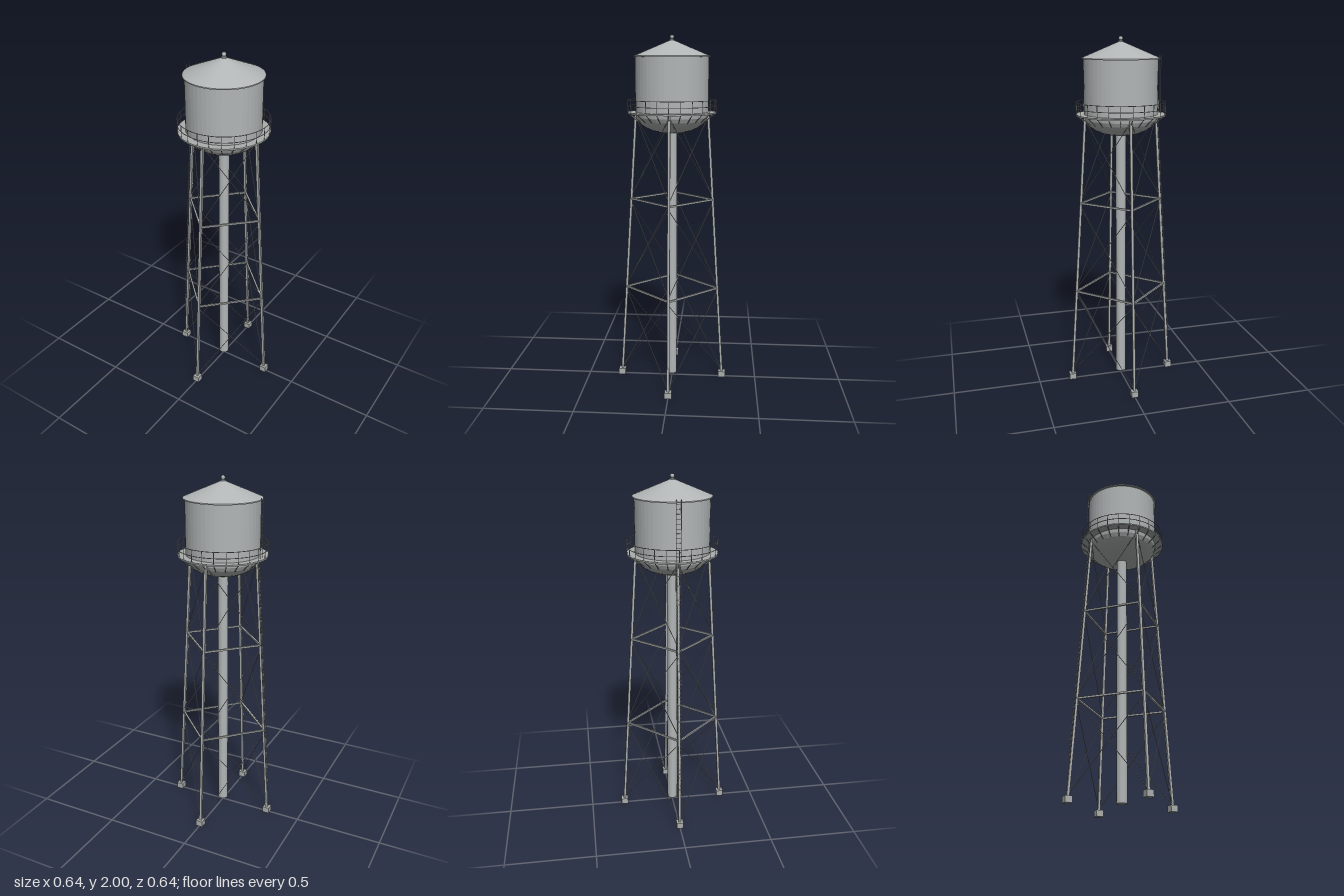
import * as THREE from 'three';

const tankPaint = new THREE.MeshStandardMaterial({ color: 0xb2b6b6, flatShading: true });
tankPaint.name = 'tank grey';
const steel = new THREE.MeshStandardMaterial({ color: 0xacaeae, flatShading: true });
steel.name = 'steel grey';

const V = (x, y, z) => new THREE.Vector3(x, y, z);
const SEG = 48;

function add(parent, name, geo, mat) {
  const m = new THREE.Mesh(geo, mat);
  m.name = name;
  parent.add(m);
  return m;
}

function group(parent, name) {
  const g = new THREE.Group();
  g.name = name;
  parent.add(g);
  return g;
}

// square bar from a to b
function bar(parent, name, a, b, w, h = w) {
  const m = add(parent, name, new THREE.BoxGeometry(w, h, a.distanceTo(b)), steel);
  m.position.copy(a).add(b).multiplyScalar(0.5);
  m.lookAt(b);
  return m;
}

// thin round rod from a to b
function rod(parent, name, a, b, r) {
  const m = add(parent, name, new THREE.CylinderGeometry(r, r, a.distanceTo(b), 6), steel);
  m.position.copy(a).add(b).multiplyScalar(0.5);
  m.quaternion.setFromUnitVectors(V(0, 1, 0), b.clone().sub(a).normalize());
  return m;
}

function lathe(parent, name, pts, mat) {
  const profile = pts.map(([r, y]) => new THREE.Vector2(r, y));
  return add(parent, name, new THREE.LatheGeometry(profile, SEG), mat);
}

// point at distance r from the axis, angle a, height y
const polar = (r, a, y) => V(r * Math.cos(a), y, r * Math.sin(a));
// the legs lean inward as they rise
const legRadius = (y) => 0.3 - 0.0627 * (y - 0.03);
const legPoint = (i, y) => polar(legRadius(y), (i * Math.PI) / 2, y);

function ladder(parent, name, a, b, halfWidth, step) {
  const g = group(parent, name);
  for (const s of [-1, 1]) {
    const off = V(0, 0, s * halfWidth);
    bar(g, 'ladderRail', a.clone().add(off), b.clone().add(off), 0.003);
  }
  const n = Math.round(a.distanceTo(b) / step);
  for (let i = 1; i < n; i++) {
    const p = a.clone().lerp(b, i / n);
    bar(g, 'ladderRung', p.clone().add(V(0, 0, -halfWidth)), p.clone().add(V(0, 0, halfWidth)), 0.002);
  }
}

export function createModel() {
  const model = new THREE.Group();
  model.name = 'waterTower';

  // tank with rounded bowl
  const bowl = [];
  for (let i = 0; i <= 8; i++) {
    const t = (i / 8) * Math.PI / 2;
    bowl.push([Math.max(0.205 * Math.sin(t), 0.0001), 1.575 - 0.113 * Math.cos(t)]);
  }
  lathe(model, 'tank', [...bowl, [0.205, 1.885]], tankPaint);

  // conical roof with a small overhanging eave
  lathe(model, 'roof', [[0.204, 1.88], [0.215, 1.88], [0.215, 1.886], [0.0001, 1.976]], tankPaint);

  // finial
  lathe(model, 'finialNeck', [[0.014, 1.964], [0.014, 1.974], [0.007, 1.977], [0.007, 1.985]], tankPaint);
  add(model, 'finialBall', new THREE.SphereGeometry(0.012, 16, 10), tankPaint).position.y = 1.988;

  // central riser pipe
  add(model, 'riser', new THREE.CylinderGeometry(0.029, 0.029, 1.46, 24), tankPaint).position.y = 0.75;

  // walkway, struts and railing
  lathe(model, 'walkway', [[0.2, 1.574], [0.25, 1.574], [0.25, 1.582], [0.2, 1.582]], steel);
  const railing = group(model, 'railing');
  for (const y of [1.615, 1.648]) {
    const ring = add(railing, 'handrail', new THREE.TorusGeometry(0.248, 0.002, 6, SEG), steel);
    ring.rotation.x = Math.PI / 2;
    ring.position.y = y;
  }
  for (let i = 0; i < 24; i++) {
    const a = (i / 24) * Math.PI * 2;
    rod(railing, 'railPost', polar(0.248, a, 1.58), polar(0.248, a, 1.648), 0.0017);
    rod(railing, 'walkwayStrut', polar(0.245, a, 1.575), polar(0.192, a, 1.53), 0.002);
  }

  // legs and footings
  for (let i = 0; i < 4; i++) {
    bar(model, 'leg', legPoint(i, 0.02), legPoint(i, 1.575), 0.014);
    const foot = add(model, 'footing', new THREE.BoxGeometry(0.04, 0.035, 0.04), steel);
    foot.position.copy(legPoint(i, 0.0175)).setY(0.0175);
  }

  // horizontal girts and crossed tie rods on each side
  const tiers = [[0.04, 0.535], [0.575, 1.065], [1.105, 1.56]];
  for (let i = 0; i < 4; i++) {
    const j = i + 1;
    for (const y of [0.555, 1.085]) bar(model, 'girt', legPoint(i, y), legPoint(j, y), 0.01);
    for (const [low, high] of tiers) {
      rod(model, 'tieRod', legPoint(i, low), legPoint(j, high), 0.002);
      rod(model, 'tieRod', legPoint(j, low), legPoint(i, high), 0.002);
    }
  }

  // ladders up the right leg and the tank wall
  const ladderPoint = (y) => V(-legRadius(y) - 0.009, y, 0);
  ladder(model, 'legLadder', ladderPoint(0.2), ladderPoint(1.575), 0.013, 0.025);
  ladder(model, 'tankLadder', V(-0.226, 1.58, 0), V(-0.226, 1.9, 0), 0.013, 0.025);

  return model;
}
